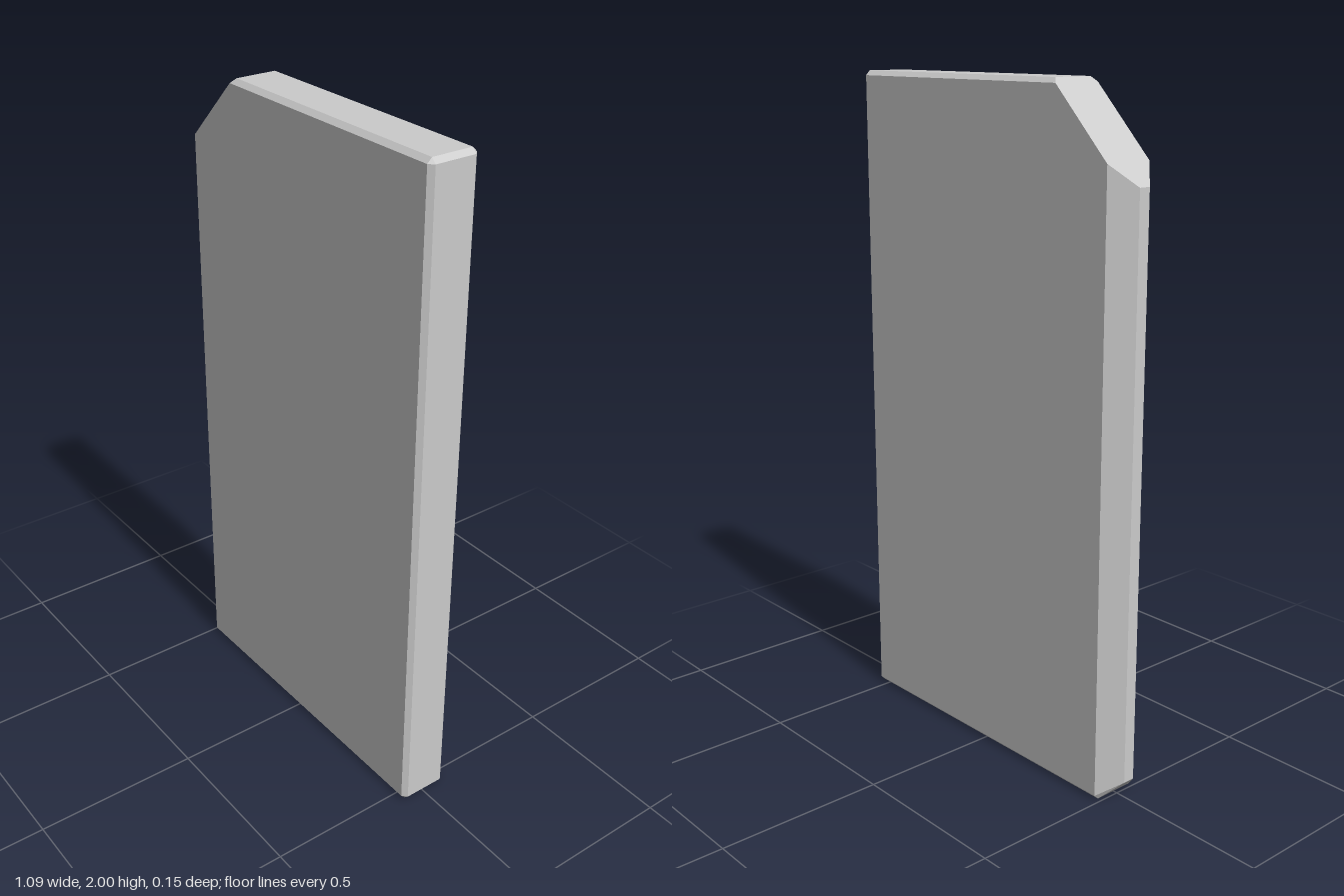
import * as THREE from 'three';
import { ConvexGeometry } from 'three/addons/geometries/ConvexGeometry.js';

const HALF_WIDTH = 0.545, HEIGHT = 2, HALF_DEPTH = 0.077;
const BEVEL = 0.014; // narrow bevel on the top, bottom and right-hand rims
const EDGE = 0.059;  // wide bevel on the -x edge
const CUT = 0.265;   // clipped upper corner

export function createModel() {
  const group = new THREE.Group();
  group.name = 'panel';

  const inner = HALF_DEPTH - BEVEL;      // depth of the narrow-bevelled rims
  const tip = HALF_DEPTH - EDGE;         // depth of the wide-bevelled rim
  const left = -HALF_WIDTH + EDGE;
  const right = HALF_WIDTH - BEVEL;
  const top = HEIGHT - BEVEL;
  const cutX = -HALF_WIDTH + CUT;

  // Corners of the front half as [x, y, z], mirrored to the back
  const corners = [
    // front face
    [left, BEVEL, HALF_DEPTH], [right, BEVEL, HALF_DEPTH], [right, top, HALF_DEPTH],
    [cutX - BEVEL, top, HALF_DEPTH], [left, HEIGHT - CUT + EDGE, HALF_DEPTH],
    // bottom, +x side and top rims
    [left, 0, inner], [right, 0, inner],
    [HALF_WIDTH, BEVEL, inner], [HALF_WIDTH, top, inner],
    [right, HEIGHT, inner], [cutX, HEIGHT, inner],
    // -x rim
    [-HALF_WIDTH, HEIGHT - CUT, tip], [-HALF_WIDTH, EDGE, tip],
  ];
  const points = corners.flatMap(([x, y, z]) => [
    new THREE.Vector3(x, y, z),
    new THREE.Vector3(x, y, -z),
  ]);

  const slab = new THREE.Mesh(
    new ConvexGeometry(points),
    new THREE.MeshStandardMaterial({ color: 0xcccccc, flatShading: true })
  );
  slab.name = 'bevelledSlab';
  group.add(slab);
  return group;
}
